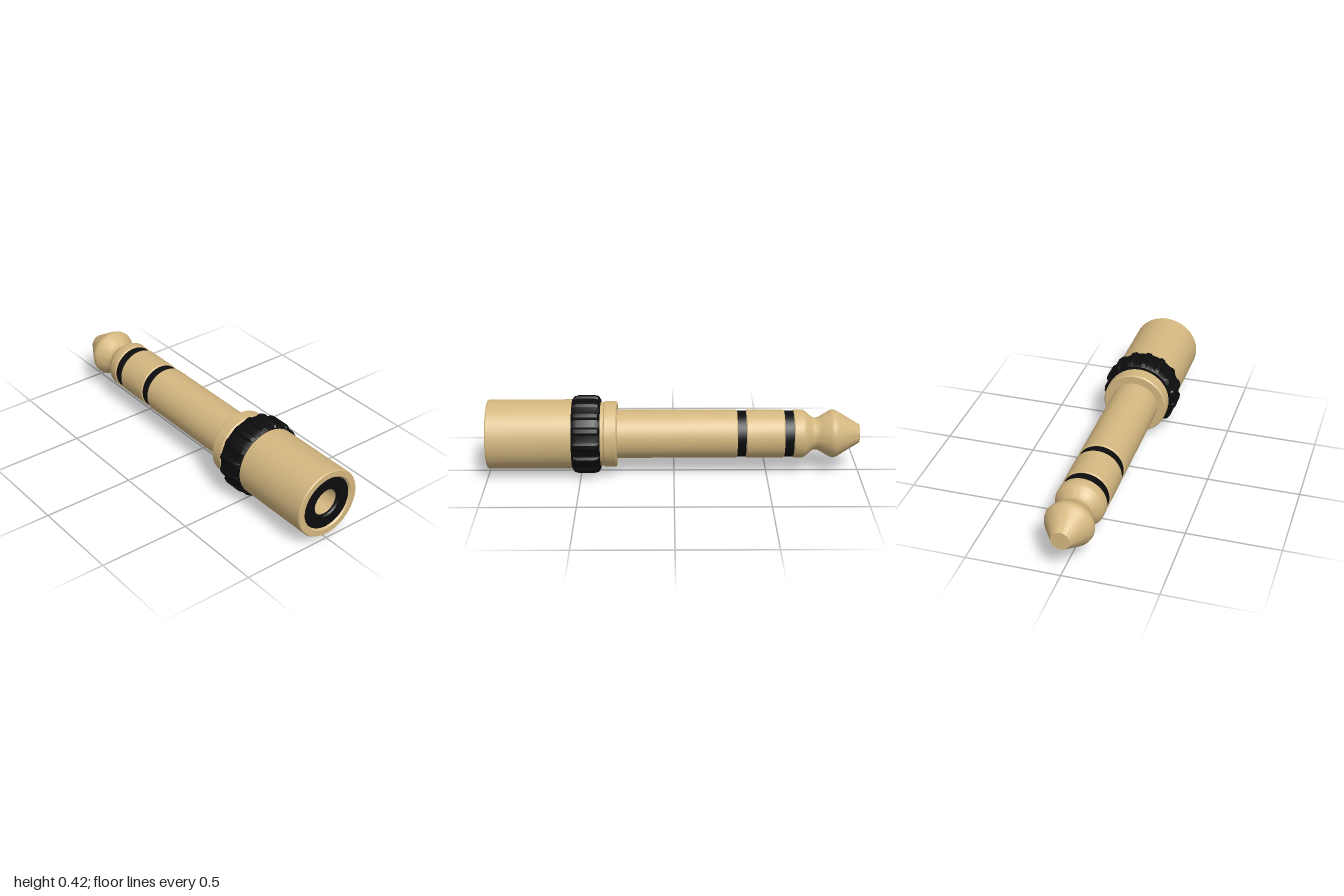
import * as THREE from 'three';
import { toCreasedNormals } from 'three/addons/utils/BufferGeometryUtils.js';

const AXIS_X = -0.002, AXIS_Y = 0.21;

// Turned solid along z from [radius, z] pairs, listed from back to front
function turned(profile, segments = 64) {
  const points = profile.map(([r, z]) => new THREE.Vector2(r, z));
  return new THREE.LatheGeometry(points, segments).rotateX(Math.PI / 2);
}

export function createModel() {
  const gold = new THREE.MeshStandardMaterial({ color: 0xd4b780 });
  gold.name = 'gold';
  const black = new THREE.MeshStandardMaterial({ color: 0x0c0c0e });
  black.name = 'black';

  const plug = new THREE.Group();
  plug.name = 'audioPlugAdapter';

  const add = (name, geometry, material, crease = 0.45) => {
    const mesh = new THREE.Mesh(toCreasedNormals(geometry, crease), material);
    mesh.name = name;
    mesh.position.set(AXIS_X, AXIS_Y, 0);
    plug.add(mesh);
  };

  // Tip contact: blunt cone, rounded bulge, waist and shoulder
  add('tip', turned([
    [0, -1], [0.05, -1], [0.12, -0.883], [0.128, -0.868], [0.13, -0.855], [0.126, -0.84],
    [0.097, -0.79], [0.089, -0.775], [0.086, -0.76], [0.09, -0.745], [0.1, -0.732],
    [0.125, -0.704], [0.13, -0.692], [0.13, -0.648], [0.126, -0.642], [0.1, -0.642],
  ]), gold);

  // Ring contact and sleeve
  add('ringContact', turned([
    [0.1, -0.593], [0.126, -0.593], [0.13, -0.587], [0.13, -0.393], [0.126, -0.387], [0.1, -0.387],
  ]), gold);
  add('sleeve', turned([
    [0.1, -0.34], [0.126, -0.34], [0.13, -0.334], [0.13, 0.32],
  ]), gold);

  // Insulating bands, slightly recessed
  for (const [name, z] of [['tipInsulator', -0.6175], ['ringInsulator', -0.3635]]) {
    add(name, turned([[0.124, z - 0.026], [0.124, z + 0.026]]), black);
  }

  // Collar with a groove in front of the grip
  add('collar', turned([
    [0.12, 0.305], [0.172, 0.305], [0.178, 0.312], [0.178, 0.37], [0.172, 0.376],
    [0.172, 0.4],
  ]), gold);

  // Grip ring with 15 ridges: eight steps per ridge, the middle rows pushed out
  const grip = turned([
    [0.165, 0.393], [0.187, 0.393], [0.194, 0.405], [0.199, 0.425],
    [0.199, 0.513], [0.194, 0.533], [0.189, 0.545], [0.18, 0.545],
  ], 120);
  const ridge = [1, 1, 0.15, 0, 0, 0, 0.15, 1];
  const p = grip.attributes.position;
  for (let i = 0; i < p.count; i++) {
    const x = p.getX(i), y = p.getY(i), r = Math.hypot(x, y);
    if (r < 0.192) continue;
    const step = Math.round(Math.atan2(y, x) / (Math.PI / 60)) + 120;
    const k = 1 + 0.06 * ridge[step % 8];
    p.setXY(i, x * k, y * k);
  }
  add('grip', grip, black, 0.35);

  // Barrel with an open front rim
  add('barrel', turned([
    [0.187, 0.52], [0.187, 0.994], [0.183, 1], [0.152, 1], [0.144, 0.99], [0.144, 0.95],
  ]), gold);

  // Socket insulator and the tapered bore inside it
  add('socketInsulator', turned([
    [0.145, 0.985], [0.141, 0.993], [0.081, 0.993], [0.073, 0.985], [0.073, 0.97],
  ]), black);
  add('socketBore', turned([[0.073, 0.975], [0.042, 0.65], [0, 0.65]]), gold);

  return plug;
}
